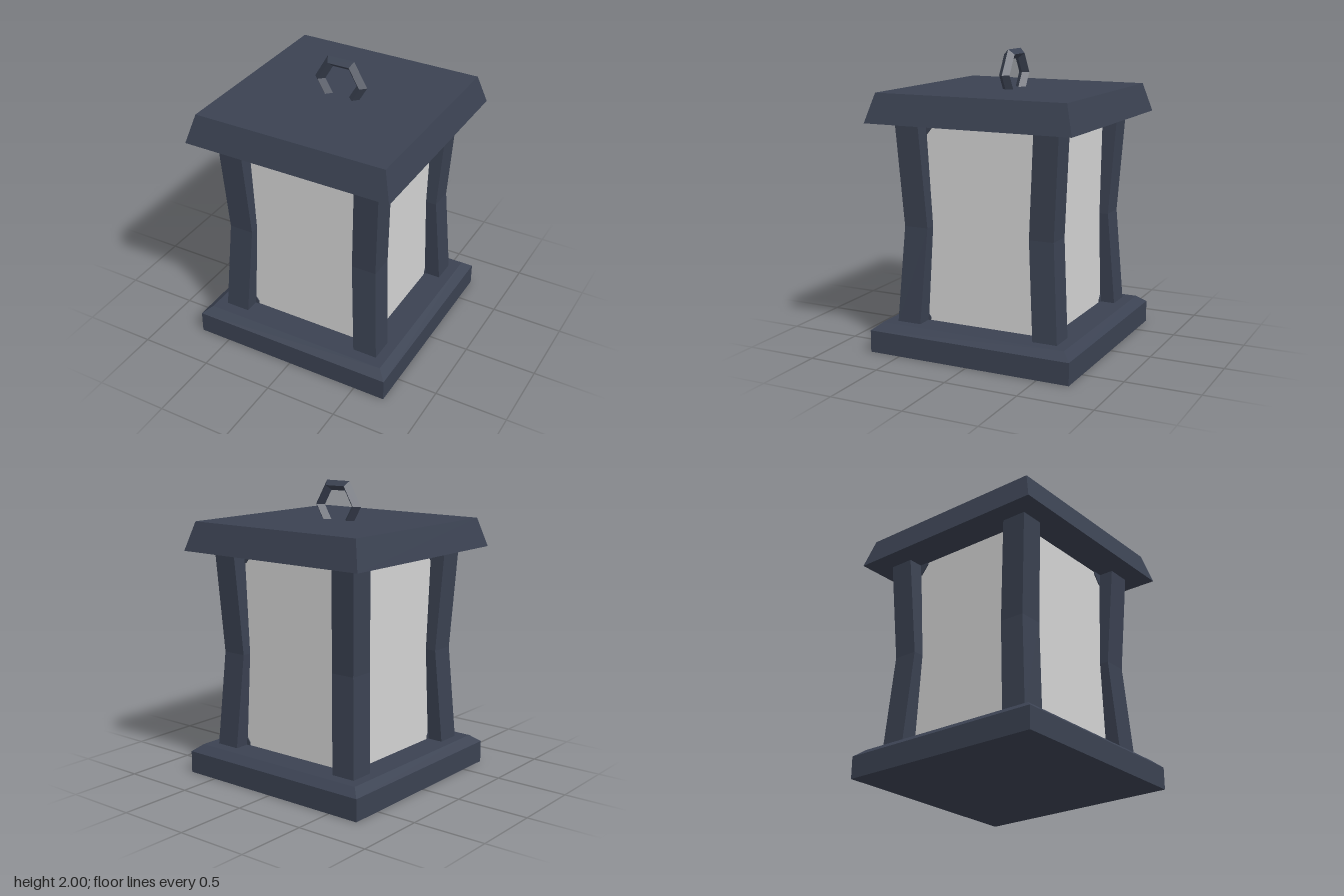
import * as THREE from 'three';

const metal = new THREE.MeshStandardMaterial({ color: 0x3b4252, flatShading: true });
metal.name = 'darkMetal';
const glass = new THREE.MeshStandardMaterial({ color: 0xd4d4d4, flatShading: true });
glass.name = 'frostedGlass';

function part(name, geometry, material, parent, x = 0, y = 0, z = 0) {
  const mesh = new THREE.Mesh(geometry, material);
  mesh.name = name;
  mesh.position.set(x, y, z);
  parent.add(mesh);
  return mesh;
}

// Square block standing on y = 0 whose top has a different half width
function taperedBlock(bottom, top, height) {
  const geo = new THREE.BoxGeometry(2, height, 2).translate(0, height / 2, 0);
  const p = geo.attributes.position;
  for (let i = 0; i < p.count; i++) {
    const half = p.getY(i) > height / 2 ? top : bottom;
    p.setXYZ(i, p.getX(i) * half, p.getY(i), p.getZ(i) * half);
  }
  return geo;
}

// Corner post bent inwards at its middle
function bentPost(sx, sz) {
  const geo = new THREE.BoxGeometry(0.17, 2, 0.17, 1, 2, 1);
  const p = geo.attributes.position;
  const levels = [[0.19, 0.505, 0.497], [0.85, 0.466, 0.453], [1.56, 0.5, 0.497]];
  for (let i = 0; i < p.count; i++) {
    const [y, cx, cz] = levels[Math.round(p.getY(i)) + 1];
    p.setXYZ(i, p.getX(i) + sx * cx, y, p.getZ(i) + sz * cz);
  }
  return geo;
}

// Small bracket plate in a corner of a pane
function bracket(points) {
  const shape = new THREE.Shape(points.map(([x, y]) => new THREE.Vector2(x, y)));
  return new THREE.ExtrudeGeometry(shape, { depth: 0.008, bevelEnabled: false });
}

export function createModel() {
  const model = new THREE.Group();
  model.name = 'lantern';

  // Base with bevelled rim
  part('base', taperedBlock(0.72, 0.72, 0.15), metal, model);
  part('baseBevel', taperedBlock(0.72, 0.66, 0.048), metal, model, 0, 0.15);

  // Glass body
  part('glassBody', new THREE.BoxGeometry(0.95, 1.37, 0.95), glass, model, 0, 0.87);

  // Four bent corner posts
  for (const sx of [-1, 1]) {
    for (const sz of [-1, 1]) part('cornerPost', bentPost(sx, sz), metal, model);
  }

  // Corner brackets on each pane
  const upper = [[0.44, 1.46], [0.44, 1.55], [0.345, 1.55], [0.345, 1.53], [0.4, 1.465]];
  const lower = [[0.44, 0.19], [0.44, 0.26], [0.415, 0.25], [0.393, 0.22], [0.395, 0.19]];
  for (let side = 0; side < 4; side++) {
    const group = new THREE.Group();
    group.name = 'paneBrackets';
    group.rotation.y = side * Math.PI / 2;
    for (const sx of [-1, 1]) {
      for (const outline of [upper, lower]) {
        part('bracket', bracket(outline.map(([x, y]) => [x * sx, y])), metal, group, 0, 0, 0.473);
      }
    }
    model.add(group);
  }

  // Sloped roof slab
  part('roof', taperedBlock(0.726, 0.67, 0.195), metal, model, 0, 1.545);

  // Hexagonal carrying ring
  part('handleRing', new THREE.TorusGeometry(0.153, 0.038, 4, 6), metal, model, 0, 1.835);

  return model;
}
